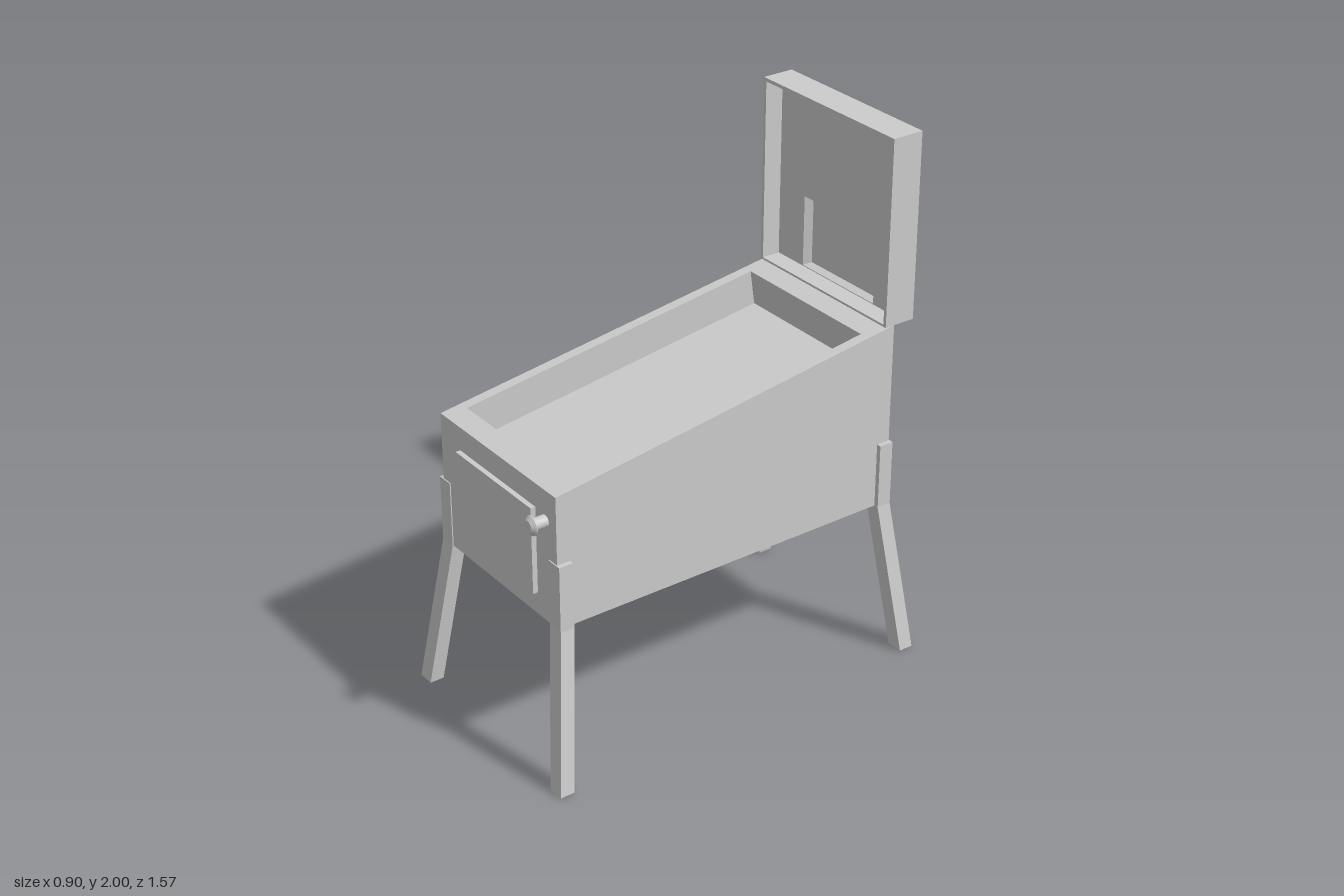
import * as THREE from 'three';

const grey = () => new THREE.MeshStandardMaterial({ color: 0xcccccc, flatShading: true });

// Four-cornered rings: level (stacked along y) and upright (stacked along z)
const level = (x0, x1, z0, z1, yAt) =>
  [[x0, z1], [x1, z1], [x1, z0], [x0, z0]].map(([x, z]) => [x, yAt(z), z]);
const upright = (x0, x1, y0, y1, z) =>
  [[x0, y0, z], [x1, y0, z], [x1, y1, z], [x0, y1, z]];

// Joins successive rings with flat quads and caps both ends
function loft(name, rings) {
  const pos = [];
  const quad = (a, b, c, d) => pos.push(...a, ...b, ...c, ...a, ...c, ...d);
  for (let i = 0; i < rings.length - 1; i++) {
    const lo = rings[i], hi = rings[i + 1];
    for (let j = 0; j < 4; j++) {
      const k = (j + 1) % 4;
      quad(lo[j], lo[k], hi[k], hi[j]);
    }
  }
  quad(...[...rings[0]].reverse());
  quad(...rings[rings.length - 1]);
  const geo = new THREE.BufferGeometry();
  geo.setAttribute('position', new THREE.Float32BufferAttribute(pos, 3));
  geo.computeVertexNormals();
  const mesh = new THREE.Mesh(geo, grey());
  mesh.name = name;
  return mesh;
}

export function createModel() {
  const model = new THREE.Group();
  model.name = 'arcadeTable';

  // Sloped cabinet with a playfield tray sunk square to the slope
  const front = 0.711, back = -0.7, bottom = 0.595;
  const slope = z => 1.1 + (front - z) * 0.2 / (front - back);
  const tilt = Math.atan2(0.2, front - back), depth = 0.135;
  const rim = level(-0.31, 0.31, -0.585, 0.63, slope);
  const tray = rim.map(([x, y, z]) =>
    [x, y - depth * Math.cos(tilt), z - depth * Math.sin(tilt)]);
  model.add(loft('cabinet', [
    level(-0.35, 0.35, back, front, () => bottom),
    level(-0.35, 0.35, back, front, slope),
    rim,
    tray,
  ]));

  // Upright back box, open at the front, with a small bevelled niche
  model.add(loft('backBox', [
    upright(-0.35, 0.35, 1.3, 2, -0.785),
    upright(-0.35, 0.35, 1.3, 2, -0.662),
    upright(-0.337, 0.337, 1.308, 1.987, -0.662),
    upright(-0.337, 0.337, 1.308, 1.987, -0.735),
    upright(-0.197, 0.195, 1.311, 1.58, -0.735),
    upright(-0.183, 0.185, 1.319, 1.57, -0.765),
  ]));

  // Legs: straight on the cabinet corner, then splayed to the foot
  for (const sx of [-1, 1]) {
    for (const sz of [-1, 1]) {
      const ring = (xa, xb, za, zb, y) => level(
        Math.min(sx * xa, sx * xb), Math.max(sx * xa, sx * xb),
        Math.min(sz * za, sz * zb), Math.max(sz * za, sz * zb), () => y);
      const [in_, out] = sz > 0 ? [0.66, 0.715] : [0.647, 0.703];
      const push = sz > 0 ? 0.071 : 0.067;
      model.add(loft((sz > 0 ? 'front' : 'rear') + (sx > 0 ? 'Left' : 'Right') + 'Leg', [
        ring(0.388, 0.452, in_ + push, out + push, 0),
        ring(0.305, 0.368, in_, out, bottom),
        ring(0.305, 0.368, in_, out, 0.845),
      ]));
    }
  }

  // Coin door on the front
  const door = new THREE.Mesh(new THREE.BoxGeometry(0.46, 0.33, 0.03), grey());
  door.name = 'coinDoor';
  door.position.set(0, 0.845, 0.715);
  model.add(door);

  // Plunger: round shaft with a shallow flared knob
  const profile = [[0, 0], [0.022, 0], [0.022, 0.06], [0.036, 0.063], [0.036, 0.066], [0.022, 0.079], [0, 0.079]];
  const plunger = new THREE.Mesh(
    new THREE.LatheGeometry(profile.map(p => new THREE.Vector2(...p)), 24), grey());
  plunger.name = 'plunger';
  plunger.rotation.x = Math.PI / 2;
  plunger.position.set(0.286, 0.985, 0.7);
  model.add(plunger);

  return model;
}
